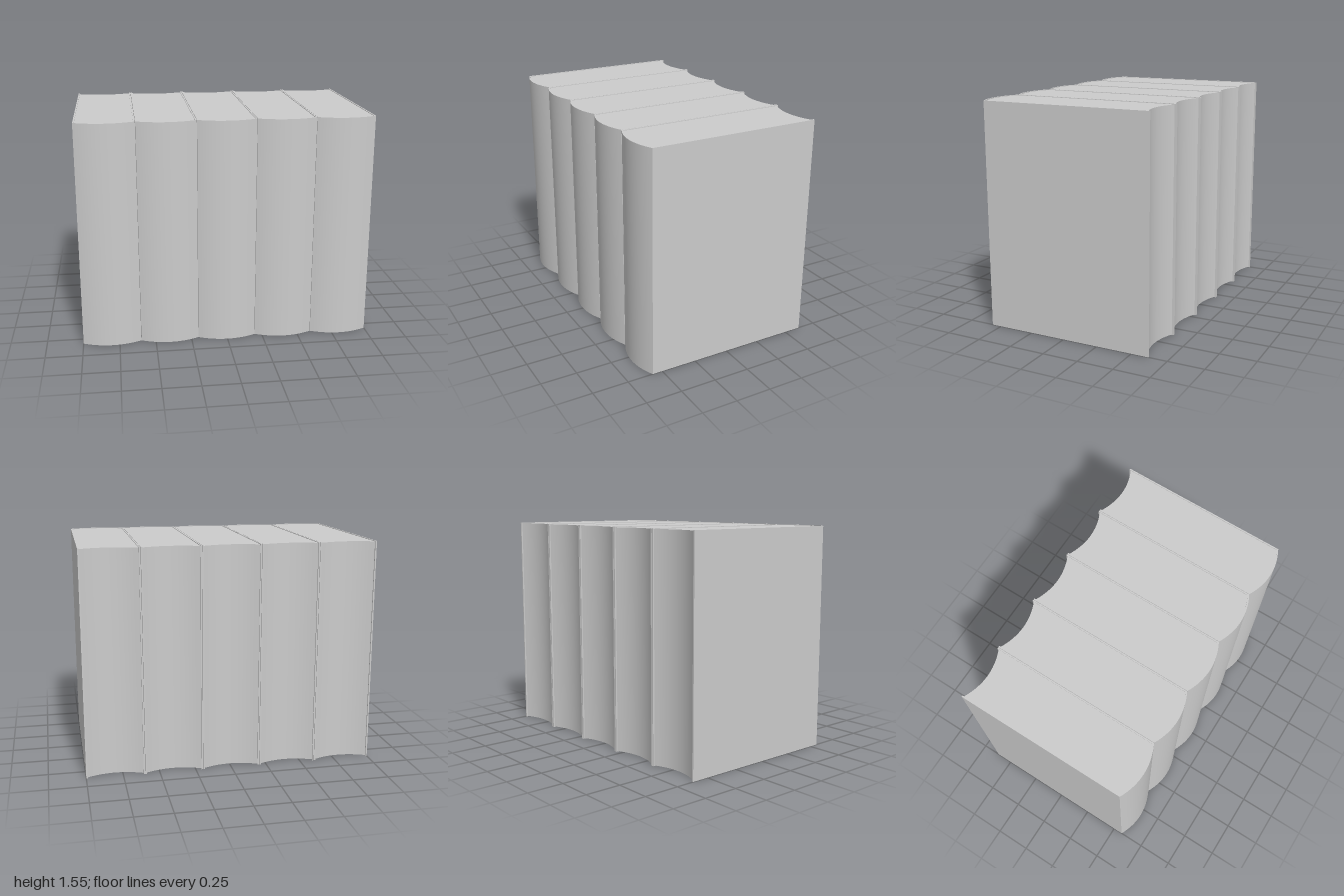
import * as THREE from 'three';
import { toCreasedNormals } from 'three/addons/utils/BufferGeometryUtils.js';

const HEIGHT = 1.55, HALF = 0.199, PITCH = 0.4005, BOARD = 0.01, RECESS = 0.004;

// Extrude a plan outline (drawn in x and -z) upward between two heights
function extrudeUp(shape, y0, y1) {
  const geo = new THREE.ExtrudeGeometry(shape, { depth: y1 - y0, bevelEnabled: false, curveSegments: 16 });
  geo.rotateX(-Math.PI / 2);
  geo.translate(0, y0, 0);
  return toCreasedNormals(geo, 0.6);
}

// U-shaped cover: two boards joined by a rounded spine at the front
function coverShape() {
  const i = HALF - BOARD;
  const s = new THREE.Shape();
  s.moveTo(-HALF, 0.62);
  s.lineTo(-HALF, -0.57);
  s.quadraticCurveTo(0, -0.67, HALF, -0.57);
  s.lineTo(HALF, 0.62);
  s.lineTo(i, 0.62);
  s.lineTo(i, -0.563);
  s.quadraticCurveTo(0, -0.657, -i, -0.563);
  s.lineTo(-i, 0.62);
  s.closePath();
  return s;
}

// Page block: rounded at the spine, hollowed at the fore edge
function pagesShape() {
  const i = HALF - BOARD;
  const s = new THREE.Shape();
  s.moveTo(-i, 0.61);
  s.lineTo(-i, -0.563);
  s.quadraticCurveTo(0, -0.657, i, -0.563);
  s.lineTo(i, 0.61);
  s.quadraticCurveTo(0, 0.52, -i, 0.61);
  return s;
}

export function createModel() {
  const model = new THREE.Group();
  model.name = 'bookRow';
  const material = new THREE.MeshStandardMaterial({ color: 0xcccccc });
  const coverGeo = extrudeUp(coverShape(), 0, HEIGHT);
  const pagesGeo = extrudeUp(pagesShape(), RECESS, HEIGHT - RECESS);

  // Five identical books side by side
  for (let n = -2; n <= 2; n++) {
    const book = new THREE.Group();
    book.name = `book${n + 3}`;
    const cover = new THREE.Mesh(coverGeo, material);
    cover.name = 'cover';
    const pages = new THREE.Mesh(pagesGeo, material);
    pages.name = 'pages';
    book.add(cover, pages);
    book.position.x = n * PITCH;
    model.add(book);
  }
  return model;
}
